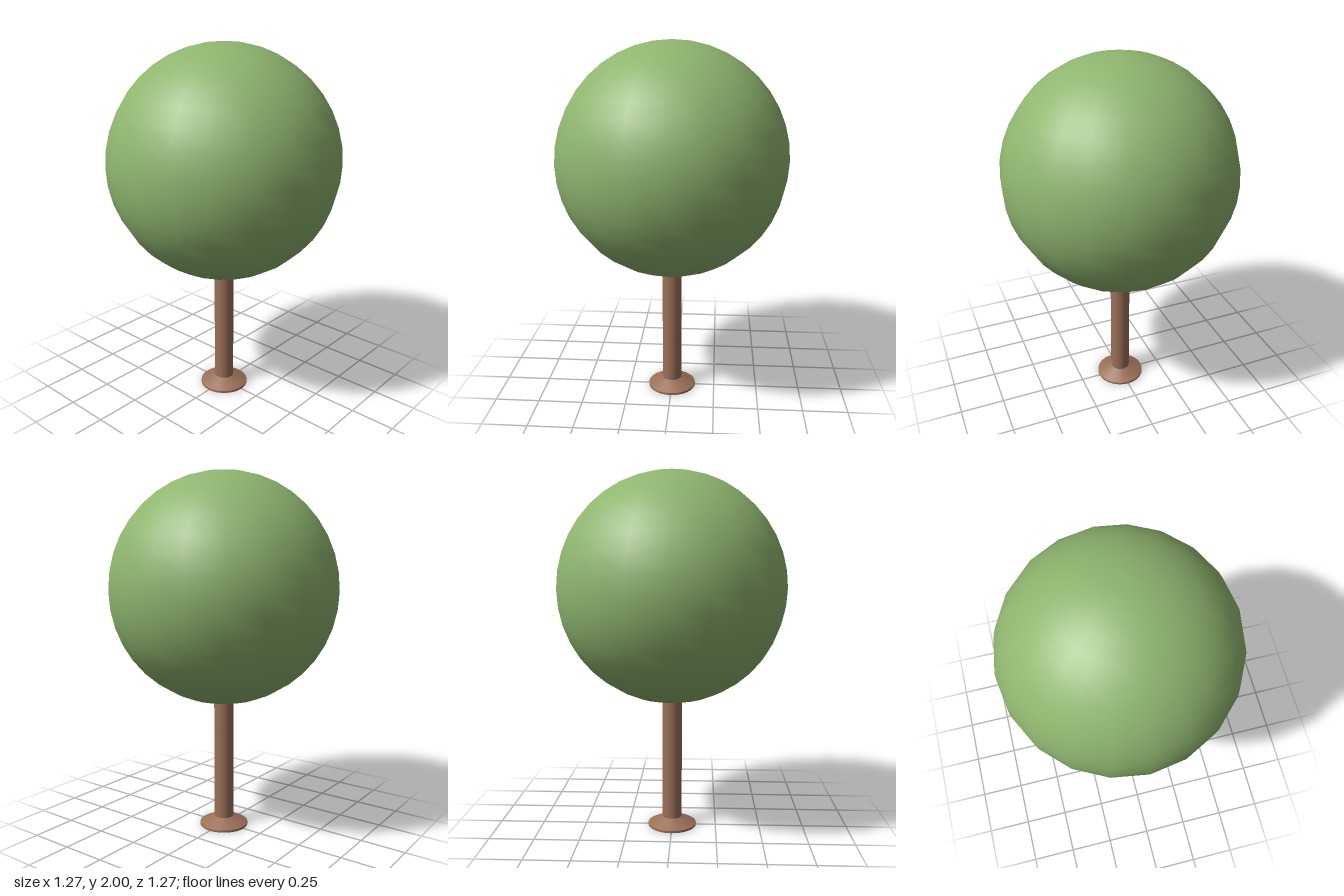
import * as THREE from 'three';
import { toCreasedNormals } from 'three/addons/utils/BufferGeometryUtils.js';

export function createModel() {
  const tree = new THREE.Group();
  tree.name = 'tree';
  const bark = new THREE.MeshStandardMaterial({ color: 0x9b7058 });
  const leaves = new THREE.MeshStandardMaterial({ color: 0x8fb56f });

  const add = (name, geometry, material, y = 0) => {
    const mesh = new THREE.Mesh(geometry, material);
    mesh.name = name;
    mesh.position.y = y;
    tree.add(mesh);
  };

  // Round crown
  add('crown', new THREE.SphereGeometry(0.635, 20, 20), leaves, 1.365);

  // Trunk, running a little way into the crown
  add('trunk', new THREE.CylinderGeometry(0.055, 0.055, 0.71, 32), bark, 0.405);

  // Flared foot: thin rim, then a cone up to the trunk
  const profile = [[0, 0], [0.137, 0], [0.137, 0.012], [0.055, 0.052], [0, 0.052]]
    .map(([r, y]) => new THREE.Vector2(r, y));
  add('foot', toCreasedNormals(new THREE.LatheGeometry(profile, 32), 0.4), bark);

  return tree;
}
